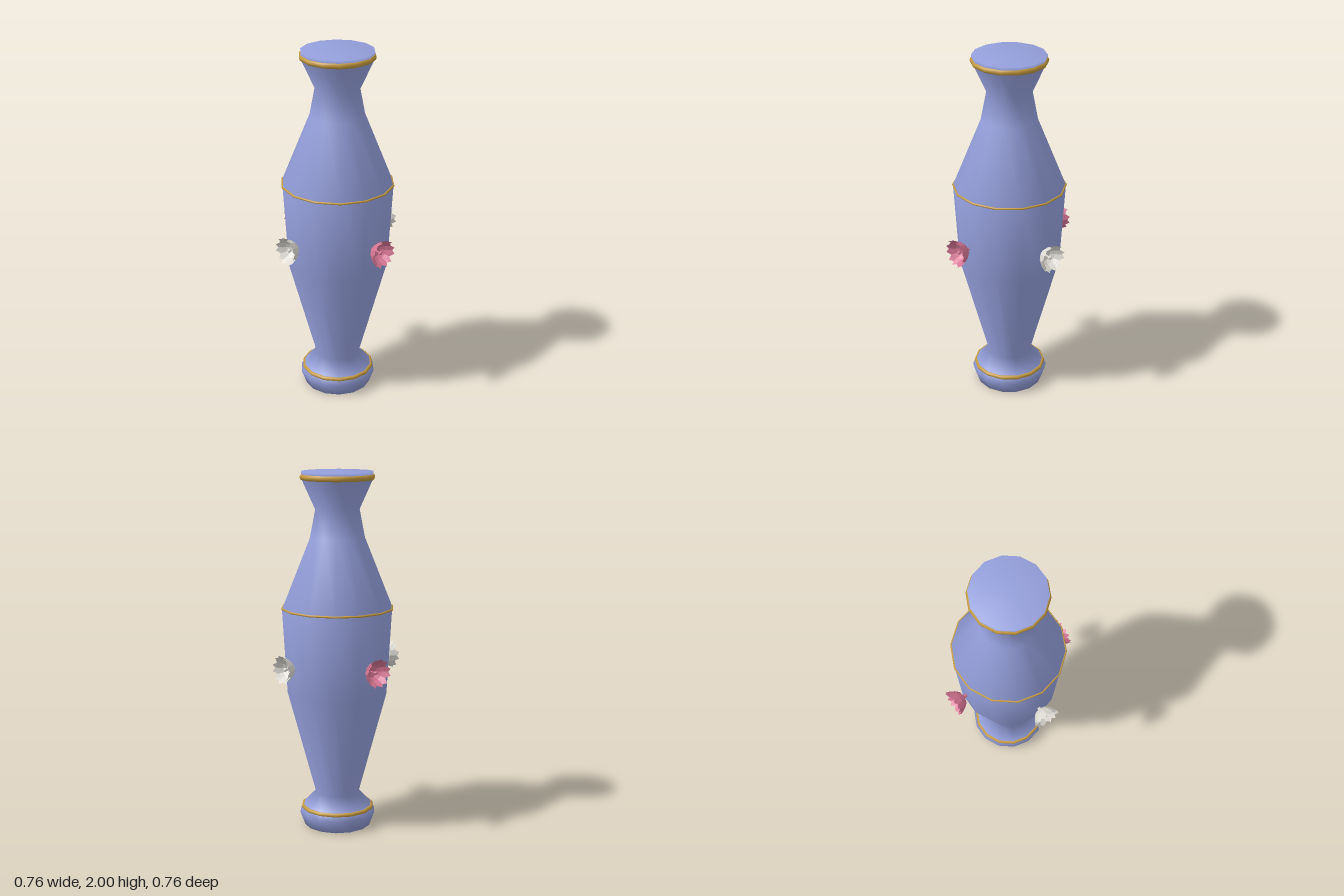
import * as THREE from 'three';

const SIDES = 14;

function mat(name, color, side = THREE.FrontSide) {
  const m = new THREE.MeshStandardMaterial({ color, side });
  m.name = name;
  return m;
}

function add(parent, name, geometry, material) {
  const mesh = new THREE.Mesh(geometry, material);
  mesh.name = name;
  parent.add(mesh);
  return mesh;
}

// One cupped petal with a notched tip, opening along +z.
function petalGeometry(scale, lift) {
  // [radius, depth, half angle]
  const rows = [[0.008, 0, 0.52], [0.036, 0.008, 0.54], [0.056, 0.03, 0.58], [0.069, 0.055, 0.5], [0.08, 0.078, 0.24]];
  const pos = [], index = [];
  rows.forEach(([r, d, half], i) => {
    for (let j = -1; j <= 1; j++) {
      const notch = i === rows.length - 1 && j === 0;
      const rr = (notch ? 0.073 : r) * scale;
      const a = j * half;
      pos.push(Math.cos(a) * rr, Math.sin(a) * rr, (notch ? 0.064 : d) * scale + lift);
    }
    if (i === 0) return;
    for (let j = 0; j < 2; j++) {
      const a = (i - 1) * 3 + j, b = a + 3;
      index.push(a, b, a + 1, b, b + 1, a + 1);
    }
  });
  const g = new THREE.BufferGeometry();
  g.setAttribute('position', new THREE.Float32BufferAttribute(pos, 3));
  g.setIndex(index);
  const flat = g.toNonIndexed();
  flat.computeVertexNormals();
  return flat;
}

function blossom(name, material) {
  const g = new THREE.Group();
  g.name = name;
  // outer and inner rings of petals
  [[1, 0, 0], [0.86, 0.008, Math.PI / 6]].forEach(([scale, lift, turn], ring) => {
    const geo = petalGeometry(scale, lift);
    for (let i = 0; i < 6; i++) {
      const p = add(g, ring ? 'innerPetal' : 'outerPetal', geo, material);
      p.rotation.z = turn + i * Math.PI / 3;
    }
  });
  // stem into the wall and the small centre bud
  const stem = add(g, 'stem', new THREE.CylinderGeometry(0.012, 0.008, 0.03, 6), material);
  stem.rotation.x = Math.PI / 2;
  stem.position.z = -0.008;
  const stalk = add(g, 'stamen', new THREE.CylinderGeometry(0.005, 0.005, 0.04, 5), material);
  stalk.rotation.x = Math.PI / 2;
  stalk.position.z = 0.025;
  add(g, 'bud', new THREE.IcosahedronGeometry(0.012, 0), material).position.z = 0.048;
  return g;
}

export function createModel() {
  const model = new THREE.Group();
  model.name = 'vase';
  const blue = mat('periwinkle glaze', 0x949fdb);
  const gold = mat('gold trim', 0xc49a3e);
  const pink = mat('pink petals', 0xd67594, THREE.DoubleSide);
  const white = mat('white petals', 0xdedbd4, THREE.DoubleSide);

  // Closed body turned from one profile
  const profile = [
    [0, 0], [0.187, 0], [0.215, 0.075], [0.195, 0.115], [0.123, 0.19], [0.282, 0.78],
    [0.31, 1.25], [0.153, 1.64], [0.123, 1.795], [0.198, 1.96], [0.2, 2], [0, 2],
  ].map(([x, y]) => new THREE.Vector2(x, y));
  add(model, 'body', new THREE.LatheGeometry(profile, SIDES, Math.PI / 2), blue);

  // Gold bands: name, height, radius, half width, half height
  [
    ['footBand', 0.106, 0.195, 0.011, 0.012],
    ['shoulderBand', 1.252, 0.309, 0.006, 0.006],
    ['rimBand', 1.97, 0.196, 0.012, 0.016],
  ].forEach(([name, y, radius, w, h]) => {
    const geo = new THREE.TorusGeometry(radius, w, 8, SIDES);
    geo.rotateX(-Math.PI / 2);
    geo.scale(1, h / w, 1);
    add(model, name, geo, gold).position.y = y;
  });

  // Four blossoms around the belly
  [['frontBlossom', pink], ['leftBlossom', white], ['backBlossom', pink], ['rightBlossom', white]]
    .forEach(([name, material], i) => {
      const b = blossom(name, material);
      const a = i * Math.PI / 2;
      b.rotation.y = a;
      b.position.set(Math.sin(a) * 0.302, 0.945, Math.cos(a) * 0.302);
      model.add(b);
    });

  return model;
}
